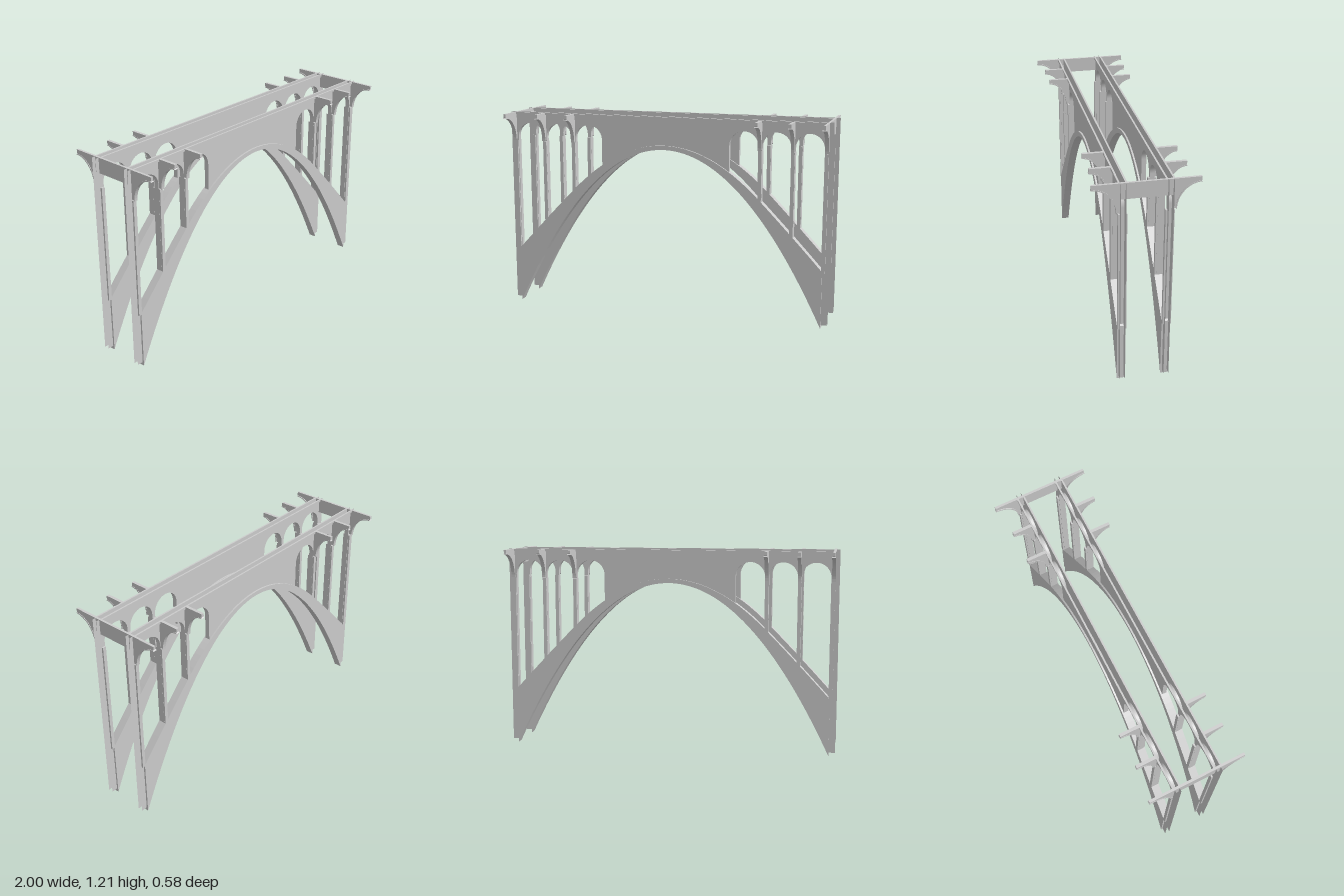
import * as THREE from 'three';

const material = new THREE.MeshStandardMaterial({ color: 0xcccccc, side: THREE.DoubleSide });
const TOP = 1.21, END = 0.963;
const WEB = [0.11, 0.138];   // z of the two thin web sheets
const RIB = [0.1, 0.148];    // z range of the arch rib and trim

// Heights of the upper and lower edges of the main arch
const intrados = x => 1.015 - 1.094 * x * x;
function extrados(x) {
  const d = Math.max(0, Math.abs(x) - 0.58), c = Math.min(Math.abs(x), 0.58);
  return 1.04 - 0.87 * c * c - 1.009 * d - 0.11 * d * d;
}

// Sample a height function between two x positions
function sample(f, a, b, n) {
  return Array.from({ length: n + 1 }, (_, i) => {
    const x = a + (b - a) * i / n;
    return new THREE.Vector2(x, f(x));
  });
}
const v = (x, y) => new THREE.Vector2(x, y);

function add(group, name, geometry) {
  const mesh = new THREE.Mesh(geometry, material);
  mesh.name = name;
  group.add(mesh);
  return mesh;
}

function box(group, name, x0, x1, y0, y1, z0, z1) {
  const g = new THREE.BoxGeometry(x1 - x0, y1 - y0, z1 - z0);
  add(group, name, g.translate((x0 + x1) / 2, (y0 + y1) / 2, (z0 + z1) / 2));
}

// Strip that follows an xy path and spans z0 to z1
function ribbon(points, z0, z1) {
  const position = [], index = [];
  points.forEach((p, i) => {
    position.push(p.x, p.y, z0, p.x, p.y, z1);
    if (i) index.push(2 * i - 2, 2 * i - 1, 2 * i, 2 * i, 2 * i - 1, 2 * i + 1);
  });
  const g = new THREE.BufferGeometry();
  g.setAttribute('position', new THREE.Float32BufferAttribute(position, 3));
  g.setIndex(index);
  g.computeVertexNormals();
  return g;
}

// Round-headed opening: side and head path from right foot to left foot
function openingPath(a, b) {
  const cx = (a + b) / 2, r = (b - a) / 2, spring = 1.145 - r;
  const path = [v(b, extrados(b) - 0.004)];
  for (let i = 0; i <= 20; i++) {
    const t = Math.PI * i / 20;
    path.push(v(cx + r * Math.cos(t), spring + r * Math.sin(t)));
  }
  path.push(v(a, extrados(a) - 0.004));
  return path;
}

const bays = [[0.398, 0.572], [0.594, 0.764], [0.786, 0.955]];
const openings = [...bays, ...bays.map(([a, b]) => [-b, -a])];

// One side of the bridge, standing at positive z
function buildSide(name) {
  const side = new THREE.Group();
  side.name = name;

  // Solid main arch rib
  const arch = new THREE.Shape([...sample(intrados, -END, END, 64), ...sample(extrados, END, -END, 64)]);
  add(side, 'archRib', new THREE.ExtrudeGeometry(arch, { depth: RIB[1] - RIB[0], bevelEnabled: false })
    .translate(0, 0, RIB[0]));

  // Thin hollow web above the arch, open at its top and ends
  const web = new THREE.Shape([
    v(-1, 0.02), v(-END, 0.02), ...sample(x => extrados(x) - 0.012, -END, END, 64),
    v(END, 0.02), v(1, 0.02), v(1, TOP), v(-1, TOP),
  ]);
  for (const [a, b] of openings) {
    const path = openingPath(a, b);
    const floor = sample(x => extrados(x) - 0.004, a, b, 8).slice(1, -1);
    web.holes.push(new THREE.Path([...path, ...floor]));
    add(side, 'openingLining', ribbon(path, ...WEB));
  }
  for (const z of WEB) add(side, 'spandrelWeb', new THREE.ShapeGeometry(web)).position.z = z;

  // Trim on both faces of the web: top moulding and post pilasters
  for (const [z0, z1] of [[RIB[0], WEB[0]], [WEB[1], RIB[1]]]) {
    box(side, 'topMoulding', -0.965, 0.965, 1.197, TOP, z0, z1);
    for (const s of [-1, 1]) {
      for (const x of [0.583, 0.775, 0.9685]) {
        const w = 0.0105, foot = extrados(Math.min(x, 0.96)) - 0.012;
        box(side, 'pilaster', s * x - w, s * x + w, foot, 1.035, z0, z1);
      }
    }
  }
  return side;
}

// Half outline of a bracket in z and y: flat top, concave quarter-round underside
function bracketPoints(reach) {
  const pts = [v(reach, TOP), v(reach, 1.19)];
  const rx = reach - 0.156, ry = 0.145;
  for (let i = 0; i <= 14; i++) {
    const t = Math.PI / 2 * (1 + i / 14);
    pts.push(v(reach - 0.003 + rx * Math.cos(t), 1.042 + ry * Math.sin(t)));
  }
  return pts;
}

// Extrude a zy outline along x, centred on x
function crossPlate(points, x, width) {
  const g = new THREE.ExtrudeGeometry(new THREE.Shape(points), { depth: width, bevelEnabled: false });
  return g.rotateY(-Math.PI / 2).translate(x + width / 2, 0, 0);
}

// Raised lip that follows the underside of a bracket
function lipPoints(reach) {
  const curve = bracketPoints(reach).slice(2);
  return [...curve, ...curve.map(p => v(p.x + 0.005, p.y - 0.005)).reverse()];
}

export function createModel() {
  const model = new THREE.Group();
  model.name = 'archBridge';

  const front = buildSide('frontSide');
  const back = buildSide('backSide');
  back.scale.z = -1;
  model.add(front, back);

  for (const s of [-1, 1]) {
    // End beam joining both sides, with brackets at its tips
    const half = [...bracketPoints(0.287), v(0.138, 1.042), v(0.138, 1.12)];
    const mirrored = half.map(p => v(-p.x, p.y)).reverse();
    add(model, 'endBeam', crossPlate([...half, ...mirrored], s * 0.972, 0.014));

    // Brackets on the outer faces of the posts
    for (const [x, reach] of [[0.583, 0.262], [0.775, 0.262], [0.9705, 0.287]]) {
      for (const side of [1, -1]) {
        const bracket = new THREE.Group();
        bracket.name = 'bracket';
        bracket.scale.z = side;
        if (x < 0.9) {
          const outline = [...bracketPoints(reach), v(0.138, 1.042), v(0.138, TOP)];
          add(bracket, 'bracketPlate', crossPlate(outline, s * x, 0.018));
        }
        add(bracket, 'bracketLip', crossPlate(lipPoints(reach), s * x, 0.022));
        model.add(bracket);
      }
    }
  }
  return model;
}
